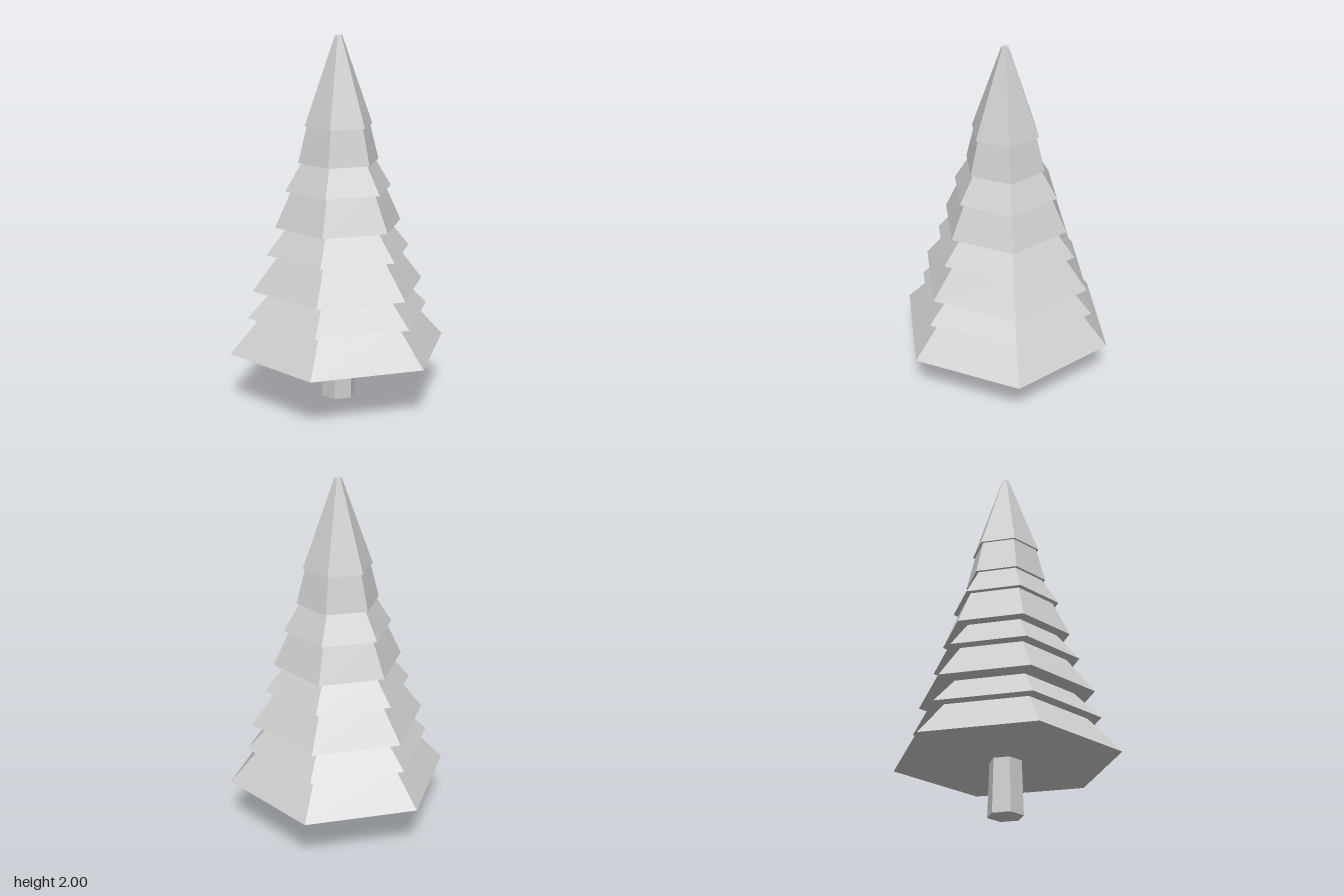
import * as THREE from 'three';

// Bottom height, bottom radius and top radius of each foliage tier, from the ground up
const TIERS = [
  [0.295, 0.613, 0.44],
  [0.49, 0.513, 0.37],
  [0.64, 0.483, 0.335],
  [0.835, 0.405, 0.285],
  [0.985, 0.355, 0.265],
  [1.18, 0.297, 0.207],
  [1.33, 0.225, 0.176],
  [1.525, 0.189, 0.02],
];
const HEIGHT = 2;

export function createModel() {
  const tree = new THREE.Group();
  tree.name = 'pineTree';
  const grey = new THREE.MeshStandardMaterial({ color: 0xcccccc, flatShading: true });
  grey.name = 'light grey';

  // Six-sided tapered section with corners on the x axis
  function section(name, y0, y1, rBottom, rTop, parent) {
    const geometry = new THREE.CylinderGeometry(rTop, rBottom, y1 - y0, 6, 1, false, Math.PI / 6);
    const mesh = new THREE.Mesh(geometry, grey);
    mesh.name = name;
    mesh.position.y = (y0 + y1) / 2;
    parent.add(mesh);
  }

  // Trunk
  section('trunk', 0, TIERS[0][0], 0.097, 0.087, tree);

  // Foliage: each tier ends at the underside of the next
  const foliage = new THREE.Group();
  foliage.name = 'foliage';
  TIERS.forEach(([y, rBottom, rTop], i) => {
    const top = i + 1 < TIERS.length ? TIERS[i + 1][0] : HEIGHT;
    section(`foliageTier${i + 1}`, y, top, rBottom, rTop, foliage);
  });
  tree.add(foliage);

  return tree;
}
